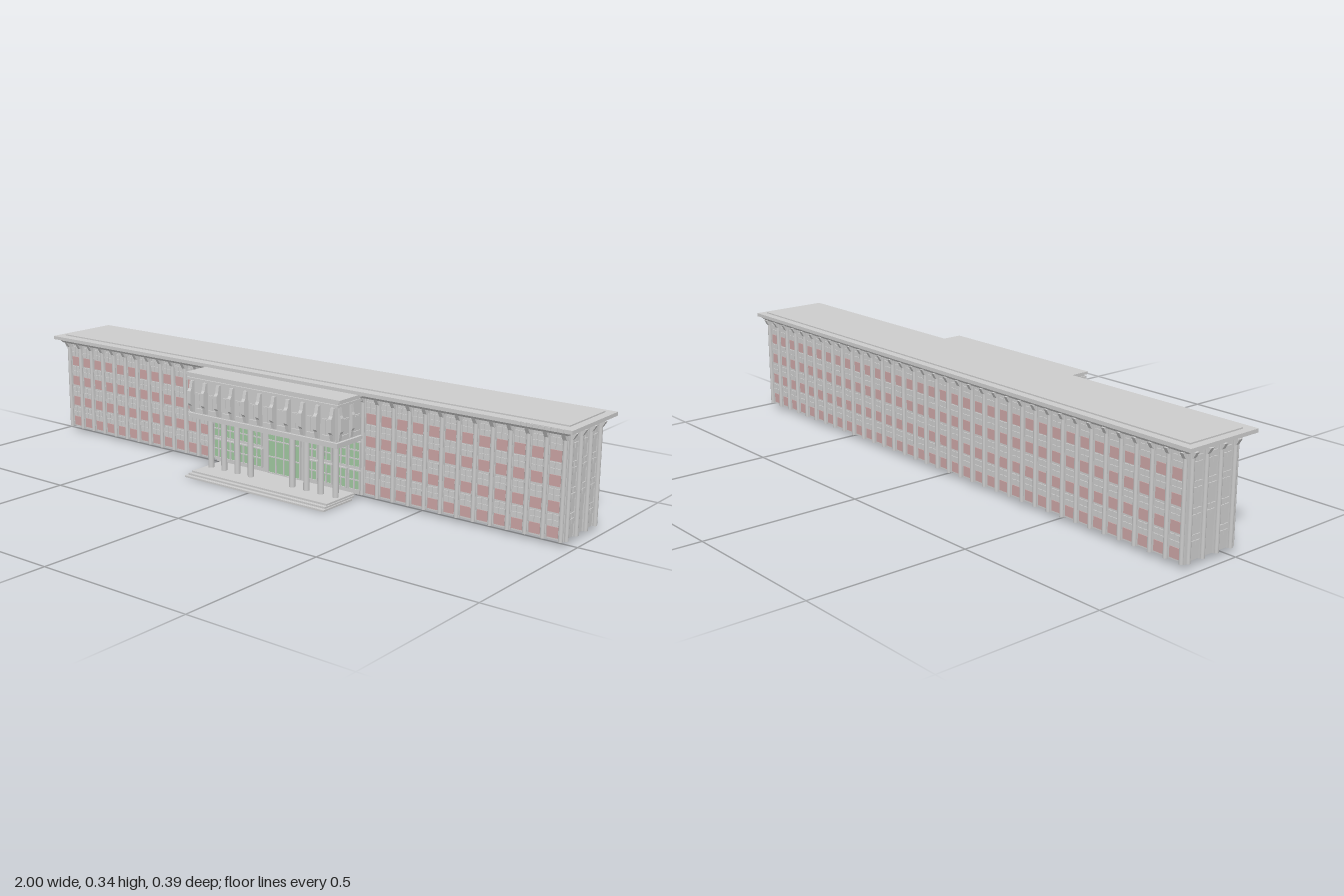
import * as THREE from 'three';
import { mergeGeometries } from 'three/addons/utils/BufferGeometryUtils.js';

const GREY = 0xcccccc, PINK = 0xc9a3a3, GREEN = 0x9fc79f;
const BAY = 0.055;                 // width of one window bay
const BASE = 0.015, EAVE = 0.317;  // wall foot and top
const CX = 0.0125;                 // middle of the entrance porch

// Box given by its limits; flare widens the top edge on every side
function box(x0, x1, y0, y1, z0, z1, flare = 0) {
  const g = new THREE.BoxGeometry(x1 - x0, y1 - y0, z1 - z0).toNonIndexed();
  const p = g.attributes.position;
  for (let i = 0; i < p.count; i++) {
    if (flare && p.getY(i) > 0) {
      p.setX(i, p.getX(i) + Math.sign(p.getX(i)) * flare);
      p.setZ(i, p.getZ(i) + Math.sign(p.getZ(i)) * flare);
    }
  }
  g.translate((x0 + x1) / 2, (y0 + y1) / 2, (z0 + z1) / 2);
  if (flare) g.computeVertexNormals();
  return g;
}

function column(x, y0, y1, z, r, sides = 12) {
  const g = new THREE.CylinderGeometry(r, r, y1 - y0, sides).toNonIndexed();
  return g.translate(x, (y0 + y1) / 2, z);
}

// Shape in (depth, height), extruded sideways and centred on x
function fin(points, width, x, z) {
  const shape = new THREE.Shape(points.map(([a, b]) => new THREE.Vector2(a, b)));
  const g = new THREE.ExtrudeGeometry(shape, { depth: width, bevelEnabled: false });
  return g.translate(0, 0, -width / 2).rotateY(-Math.PI / 2).translate(x, 0, z);
}

function add(group, name, geos, color = GREY) {
  const mat = new THREE.MeshStandardMaterial({ color });
  const mesh = new THREE.Mesh(mergeGeometries(geos), mat);
  mesh.name = name;
  group.add(mesh);
}

// Tall arched panel that holds one stack of windows
function archedPanel(x, y0) {
  const w = 0.018, top = 0.292;
  const s = new THREE.Shape();
  s.moveTo(-w, y0);
  s.lineTo(w, y0);
  s.lineTo(w, top);
  s.absarc(0, top, w, 0, Math.PI, false);
  s.lineTo(-w, y0);
  const g = new THREE.ExtrudeGeometry(s, { depth: 0.002, bevelEnabled: false, curveSegments: 6 });
  return g.translate(x, 0, 0);
}

const FLOORS = [0.071, 0.143, 0.216, 0.285];

// One facade: wall plane at local z = 0, facing +z, bays centred at xs
function facade(name, xs, { pinkPanels = true, door = null } = {}) {
  const group = new THREE.Group();
  group.name = name;
  const panels = [], panes = [], spandrels = [], pilasters = [], brackets = [];
  const edges = new Set();
  for (const x of xs) {
    const y0 = x === door ? 0.092 : 0.02;
    panels.push(archedPanel(x, y0));
    for (const y of FLOORS) {
      if (y < y0) continue;
      for (const sx of [-1, 1]) for (const sy of [-1, 1]) {
        const px = x + sx * 0.0095, py = y + sy * 0.0085, h = 0.0075;
        panes.push(box(px - h, px + h, py - h, py + h, 0.002, 0.005));
      }
      if (pinkPanels) spandrels.push(box(x - 0.017, x + 0.017, y - 0.05, y - 0.019, 0.001, 0.004));
    }
    for (const s of [-0.5, 0.5]) edges.add(Math.round((x + s * BAY) * 1e4) / 1e4);
  }
  // Round pilasters with backing strips and flared brackets under the eaves
  for (const x of edges) {
    pilasters.push(box(x - 0.009, x + 0.009, BASE, EAVE, -0.002, 0.005));
    pilasters.push(column(x, BASE, EAVE, 0.007, 0.0065, 10));
    brackets.push(fin([[0.004, 0.295], [0.014, 0.3], [0.024, EAVE], [0.004, EAVE]], 0.012, x, 0));
  }
  add(group, 'windowPanels', panels);
  add(group, 'windowPanes', panes);
  if (pinkPanels) add(group, 'spandrels', spandrels, PINK);
  add(group, 'pilasters', pilasters);
  add(group, 'eaveBrackets', brackets);
  return group;
}

export function createModel() {
  const model = new THREE.Group();
  model.name = 'building';

  // Main block
  const X = 0.964, ZF = 0.021, ZB = -0.163, ZM = (ZF + ZB) / 2;
  add(model, 'mainWalls', [box(-X, X, BASE, EAVE, ZB, ZF)]);

  // Facades on all four sides
  const all = Array.from({ length: 35 }, (_, i) => (i - 17) * BAY);
  const front = facade('frontFacade', all.filter((x) => Math.abs(x) > 5.5 * BAY));
  front.position.z = ZF;
  const back = facade('backFacade', all);
  back.rotation.y = Math.PI;
  back.position.z = ZB;
  model.add(front, back);
  for (const s of [-1, 1]) {
    const side = facade(s > 0 ? 'leftFacade' : 'rightFacade', [-BAY, 0, BAY], { pinkPanels: false, door: 0 });
    side.rotation.y = s * Math.PI / 2;
    side.position.set(s * X, 0, ZM);
    model.add(side);
  }

  // Stepped roof with flared cornice
  add(model, 'roof', [
    box(-0.976, 0.976, 0.315, 0.327, -0.178, 0.043, 0.012),
    box(-1, 1, 0.327, 0.338, -0.195, 0.065),
    box(-0.975, 0.975, 0.338, 0.342, -0.17, 0.032),
  ]);
  const teeth = [];
  for (let x = 0.84; x < 0.98; x += 0.018) teeth.push(box(x, x + 0.008, 0.328, 0.337, 0.06, 0.068));
  add(model, 'corniceTeeth', teeth);

  // Entrance porch, built around its own middle
  const porch = new THREE.Group();
  porch.name = 'porch';
  porch.position.x = CX;
  model.add(porch);

  add(porch, 'upperHall', [box(-0.285, 0.285, 0.19, 0.315, 0.015, 0.149)]);
  add(porch, 'porchMouldings', [
    box(-0.289, 0.289, 0.183, 0.19, 0.015, 0.152),
    box(-0.294, 0.294, 0.19, 0.2, 0.015, 0.157),
    box(-0.294, 0.294, 0.305, 0.313, 0.015, 0.157),
    box(-0.291, 0.291, 0.313, 0.32, 0.015, 0.151),
    box(-0.3, 0.3, 0.32, 0.328, 0.015, 0.155),
  ]);

  // Bowed fins with windows between them
  const bow = [[0, 0.203], [0.009, 0.205], [0.014, 0.225], [0.02, 0.232], [0.02, 0.272], [0.014, 0.28], [0.009, 0.303], [0, 0.303]];
  const fins = [], hallWindows = [], sills = [];
  for (let i = -5; i <= 5; i++) fins.push(fin(bow, 0.012, i * BAY, 0.149));
  for (let i = -4.5; i <= 4.5; i++) {
    const x = i * BAY;
    hallWindows.push(box(x - 0.012, x - 0.001, 0.218, 0.262, 0.148, 0.151));
    hallWindows.push(box(x + 0.001, x + 0.012, 0.218, 0.262, 0.148, 0.151));
    sills.push(box(x - 0.015, x + 0.015, 0.213, 0.217, 0.148, 0.154));
    sills.push(box(x - 0.015, x + 0.015, 0.263, 0.266, 0.148, 0.153));
  }
  for (const s of [-1, 1]) {
    for (const z of [0.138, 0.082]) {
      const g = fin(bow.map(([a, b]) => [a * 0.6, b]), 0.012, 0, 0);
      fins.push(g.rotateY(s * Math.PI / 2).translate(s * 0.285, 0, z));
    }
    for (const z of [0.11, 0.055]) {
      const x0 = Math.min(s * 0.284, s * 0.288), x1 = Math.max(s * 0.284, s * 0.288);
      hallWindows.push(box(x0, x1, 0.218, 0.262, z - 0.014, z + 0.014));
      sills.push(box(x0 - 0.001, x1 + 0.001, 0.213, 0.217, z - 0.016, z + 0.016));
      sills.push(box(x0 - 0.001, x1 + 0.001, 0.263, 0.266, z - 0.016, z + 0.016));
    }
  }
  add(porch, 'bowedFins', fins);
  add(porch, 'hallWindows', hallWindows);
  add(porch, 'windowSills', sills);

  // Free-standing columns
  const columns = [];
  for (const n of [1.5, 2.5, 3.5, 4.5]) for (const s of [-1, 1]) {
    const x = s * n * BAY;
    columns.push(column(x, 0.016, 0.184, 0.101, 0.0095, 16));
    columns.push(box(x - 0.012, x + 0.012, 0.179, 0.184, 0.089, 0.113));
  }
  add(porch, 'porchColumns', columns);

  // Glazed entrance wall: green glass with grey frames
  const glass = [], frames = [box(-0.285, 0.285, BASE, 0.184, 0.015, 0.034)];
  const glazing = (x, w, y0, y1, cols, rows) => {
    glass.push(box(x - w, x + w, y0, y1, 0.033, 0.038));
    for (let i = 0; i <= cols; i++) {
      const u = x - w + (2 * w * i) / cols;
      frames.push(box(u - 0.0018, u + 0.0018, y0, y1, 0.033, 0.042));
    }
    for (let j = 0; j <= rows; j++) {
      const v = y0 + ((y1 - y0) * j) / rows;
      frames.push(box(x - w, x + w, v - 0.0018, v + 0.0018, 0.033, 0.041));
    }
  };
  glazing(0, 0.064, 0.02, 0.178, 4, 3);
  for (const n of [2, 3, 4, 4.9]) for (const s of [-1, 1]) {
    glazing(s * n * BAY, 0.02, 0.03, 0.09, 2, 2);
    glazing(s * n * BAY, 0.02, 0.1, 0.178, 2, 3);
  }
  add(porch, 'entranceGlass', glass, GREEN);
  add(porch, 'entranceFrames', frames);

  // Entrance steps
  const steps = [];
  [0.195, 0.182, 0.169].forEach((z, i) => {
    const w = 0.275 - i * 0.004;
    steps.push(box(-w, w, i * 0.0055, (i + 1) * 0.0055, 0.055 - i * 0.014, z));
  });
  add(porch, 'entranceSteps', steps);

  return model;
}
